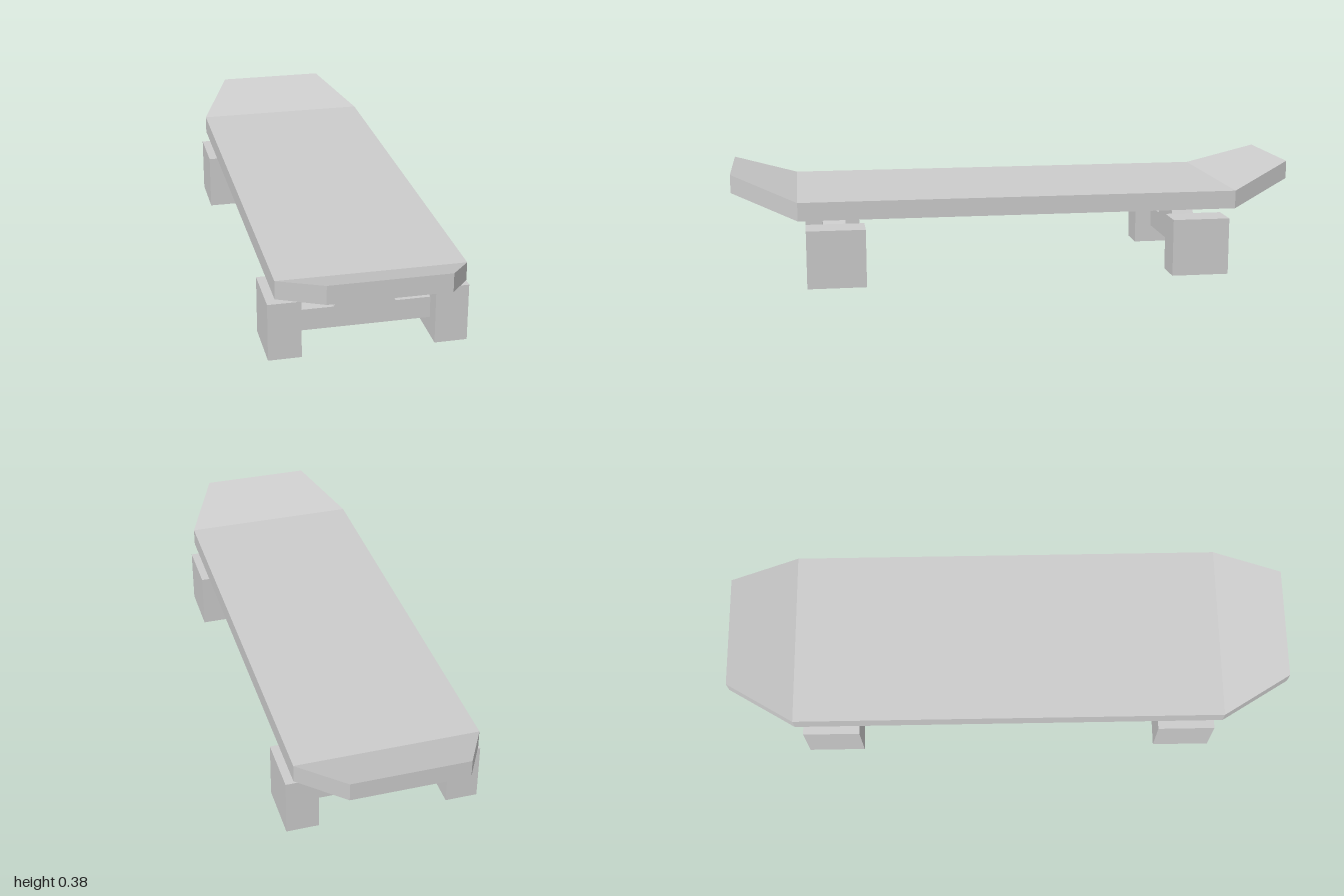
import * as THREE from 'three';

const material = new THREE.MeshStandardMaterial({ color: 0xcccccc, flatShading: true });

function addMesh(parent, name, geometry, x = 0, y = 0, z = 0) {
  const mesh = new THREE.Mesh(geometry, material);
  mesh.name = name;
  mesh.position.set(x, y, z);
  parent.add(mesh);
}

// Flat board whose two end sections narrow and kick upwards
function deckGeometry() {
  const bendZ = 0.773, halfWidth = 0.317, tipHalfWidth = 0.199, kick = 0.083;
  const geometry = new THREE.BoxGeometry(2 * halfWidth, 0.064, 2, 1, 1, 3);
  const p = geometry.attributes.position;
  for (let i = 0; i < p.count; i++) {
    const z = p.getZ(i);
    if (Math.abs(z) > 0.9) {
      p.setX(i, Math.sign(p.getX(i)) * tipHalfWidth);
      p.setY(i, p.getY(i) + kick);
    } else {
      p.setZ(i, Math.sign(z) * bendZ);
    }
  }
  geometry.computeVertexNormals();
  return geometry;
}

// Axle bar with a tapered mount rising to the deck
function truckGeometry() {
  const depth = 0.08;
  const shape = new THREE.Shape([
    [-0.225, 0.064], [0.225, 0.064], [0.225, 0.14], [0.105, 0.14],
    [0.06, 0.235], [-0.06, 0.235], [-0.105, 0.14], [-0.225, 0.14],
  ].map(([x, y]) => new THREE.Vector2(x, y)));
  return new THREE.ExtrudeGeometry(shape, { depth, bevelEnabled: false }).translate(0, 0, -depth / 2);
}

export function createModel() {
  const model = new THREE.Group();
  model.name = 'skateboard';
  addMesh(model, 'deck', deckGeometry(), 0, 0.267, 0);

  // Front and back trucks, each with a pair of block wheels
  const truck = truckGeometry();
  const wheel = new THREE.BoxGeometry(0.112, 0.203, 0.204);
  for (const [end, z] of [['front', 0.645], ['back', -0.645]]) {
    const group = new THREE.Group();
    group.name = end + 'WheelSet';
    group.position.z = z;
    addMesh(group, end + 'Truck', truck);
    addMesh(group, end + 'LeftWheel', wheel, 0.281, 0.1015);
    addMesh(group, end + 'RightWheel', wheel, -0.281, 0.1015);
    model.add(group);
  }
  return model;
}
